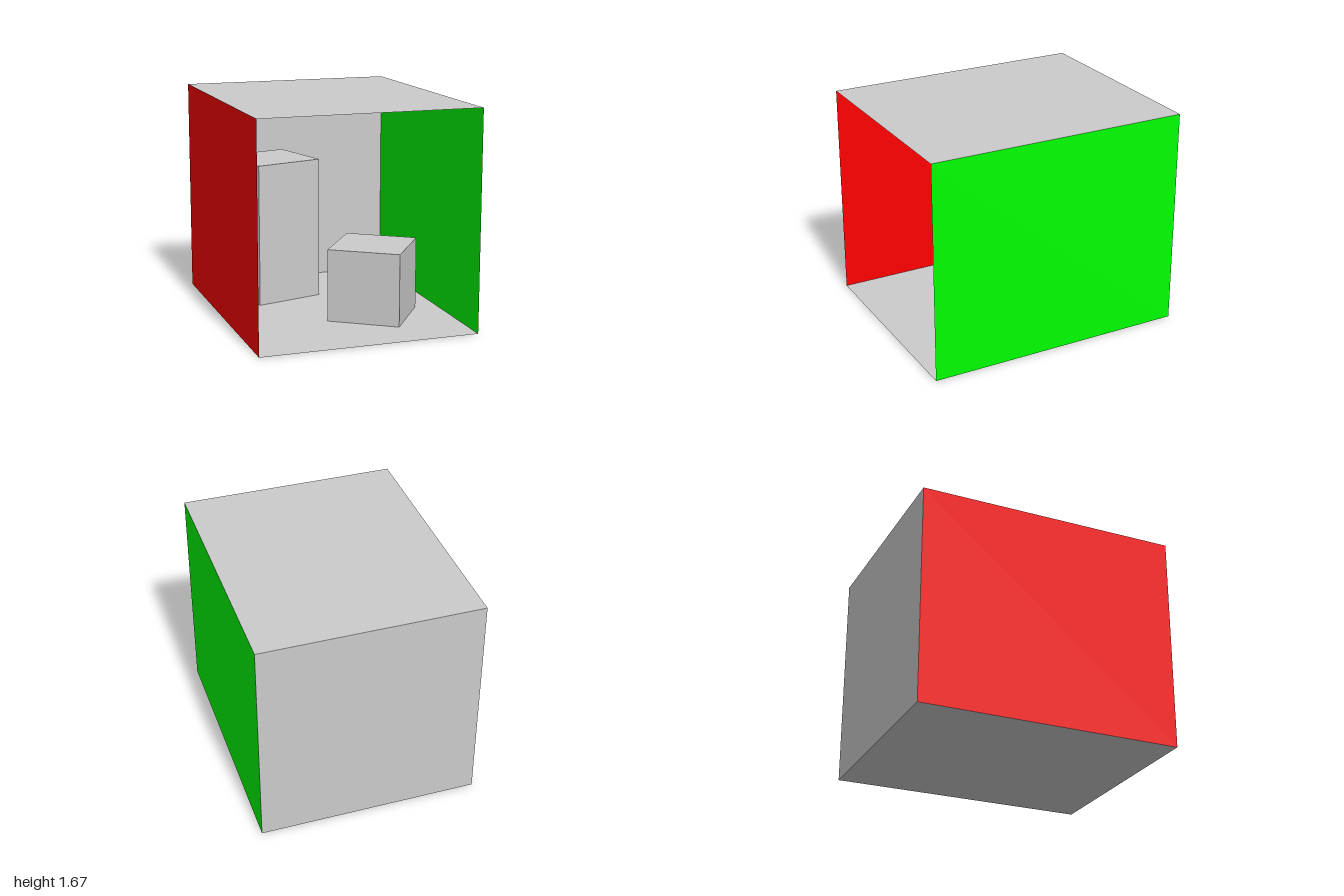
import * as THREE from 'three';

const W = 5 / 3;   // width and height of the room
const D = 2;       // depth of the room
const BLOCK = W / 3;

function material(color) {
  return new THREE.MeshStandardMaterial({ color, side: THREE.DoubleSide });
}

export function createModel() {
  const room = new THREE.Group();
  room.name = 'room';
  const grey = material(0xcccccc);

  function add(name, geometry, mat, position, rotation) {
    const mesh = new THREE.Mesh(geometry, mat);
    mesh.name = name;
    mesh.position.set(...position);
    mesh.rotation.set(...rotation);
    room.add(mesh);
  }

  // Thin shell, open at the front, every panel facing inwards
  const q = Math.PI / 2;
  add('floor', new THREE.PlaneGeometry(W, D), grey, [0, 0, 0], [-q, 0, 0]);
  add('ceiling', new THREE.PlaneGeometry(W, D), grey, [0, W, 0], [q, 0, 0]);
  add('backWall', new THREE.PlaneGeometry(W, W), grey, [0, W / 2, -D / 2], [0, 0, 0]);
  add('rightWall', new THREE.PlaneGeometry(D, W), material(0xff0000), [-W / 2, W / 2, 0], [0, q, 0]);
  add('leftWall', new THREE.PlaneGeometry(D, W), material(0x00ff00), [W / 2, W / 2, 0], [0, -q, 0]);

  // Two square blocks standing on the floor, turned about the vertical
  function block(name, height, x, z, degrees) {
    add(name, new THREE.BoxGeometry(BLOCK, height, BLOCK), grey,
      [x, height / 2, z], [0, THREE.MathUtils.degToRad(degrees), 0]);
  }
  block('tallBlock', BLOCK * 2, -W / 6, -W / 3, 15);
  block('shortBlock', BLOCK, W / 6, W / 6, -35);

  return room;
}
